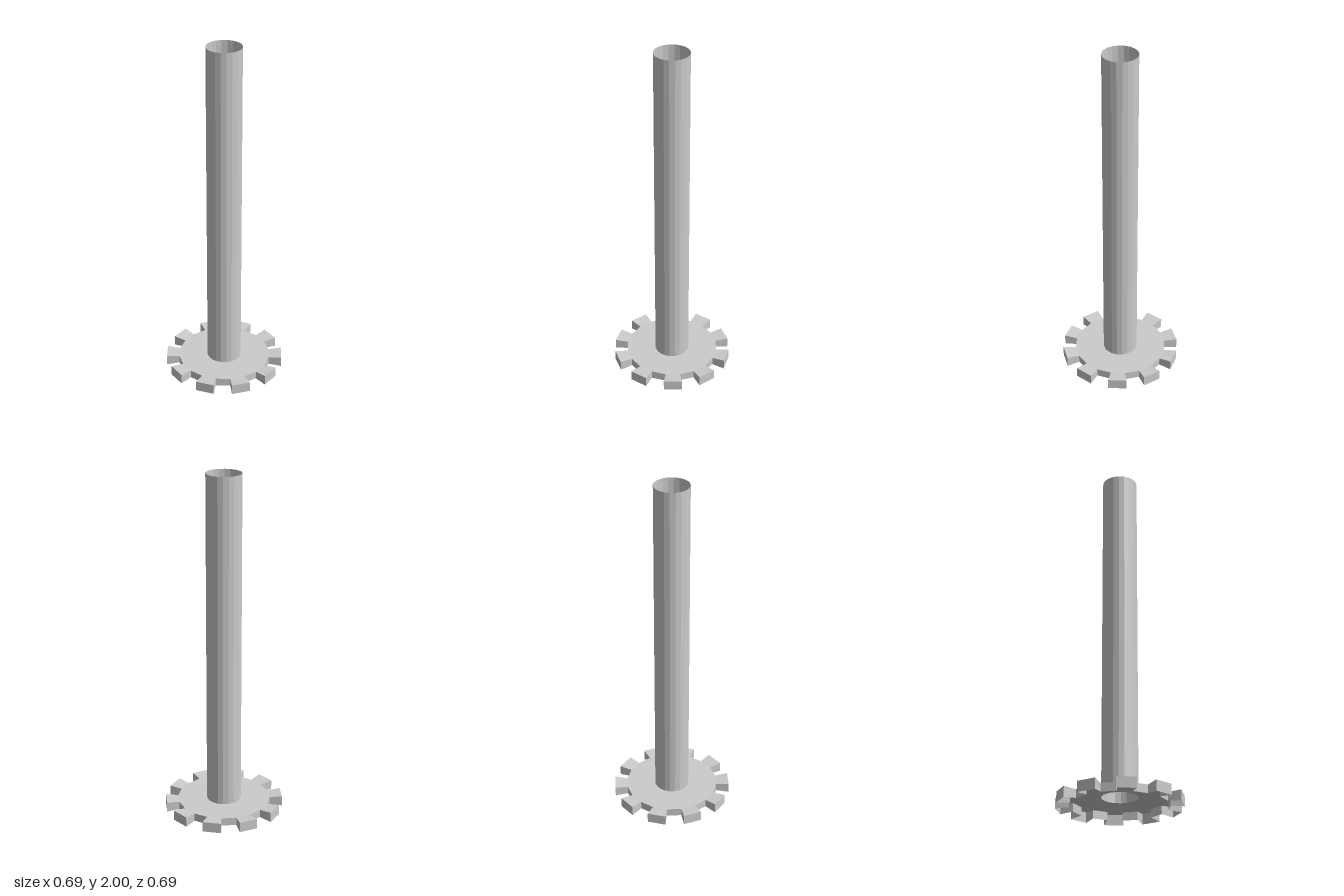
import * as THREE from 'three';

const SIDES = 20;            // ten teeth, ten gaps
const HOLE = 0.1, ROOT = 0.27, TIP = 0.345;
const TIP_TOP = 0.06, ROOT_TOP = 0.0535, ROOT_BOTTOM = 0.0065;

const material = new THREE.MeshStandardMaterial({
  color: 0xcccccc, flatShading: true, side: THREE.DoubleSide,
});

// Point at a radius, height and step around the axis
const at = (r, y, i) => {
  const a = (i / SIDES) * Math.PI * 2;
  return [r * Math.cos(a), y, r * Math.sin(a)];
};

function meshFromQuads(name, quads) {
  const positions = quads.flatMap(([a, b, c, d]) => [a, b, c, a, c, d].flat());
  const geometry = new THREE.BufferGeometry();
  geometry.setAttribute('position', new THREE.Float32BufferAttribute(positions, 3));
  geometry.computeVertexNormals();
  const mesh = new THREE.Mesh(geometry, material);
  mesh.name = name;
  return mesh;
}

// Upright wall between two steps
const wall = (r, bottom, top, i) =>
  [at(r, bottom, i), at(r, top, i), at(r, top, i + 1), at(r, bottom, i + 1)];

// Side of a tooth, flaring towards its tip
const flank = (i) =>
  [at(ROOT, ROOT_BOTTOM, i), at(ROOT, ROOT_TOP, i), at(TIP, TIP_TOP, i), at(TIP, 0, i)];

export function createModel() {
  const model = new THREE.Group();
  model.name = 'gearOnShaft';

  // Open hollow shaft
  const shaft = new THREE.Mesh(
    new THREE.CylinderGeometry(HOLE, HOLE, 2 - ROOT_TOP, SIDES, 1, true), material);
  shaft.position.y = (2 + ROOT_TOP) / 2;
  shaft.name = 'shaft';
  model.add(shaft);

  // Gear: a plate with a rim, open underneath
  const plate = [], rim = [], teeth = [];
  for (let i = 0; i < SIDES; i++) {
    plate.push([at(HOLE, ROOT_TOP, i), at(HOLE, ROOT_TOP, i + 1),
      at(ROOT, ROOT_TOP, i + 1), at(ROOT, ROOT_TOP, i)]);
    if (i % 2) {
      rim.push(wall(ROOT, ROOT_BOTTOM, ROOT_TOP, i));
    } else {
      teeth.push(
        [at(ROOT, ROOT_TOP, i), at(ROOT, ROOT_TOP, i + 1),
          at(TIP, TIP_TOP, i + 1), at(TIP, TIP_TOP, i)],
        wall(TIP, 0, TIP_TOP, i),
        flank(i),
        flank(i + 1).reverse());
    }
  }
  const gear = new THREE.Group();
  gear.name = 'gear';
  gear.add(meshFromQuads('gearPlate', plate), meshFromQuads('gearRim', rim),
    meshFromQuads('gearTeeth', teeth));
  model.add(gear);
  return model;
}
